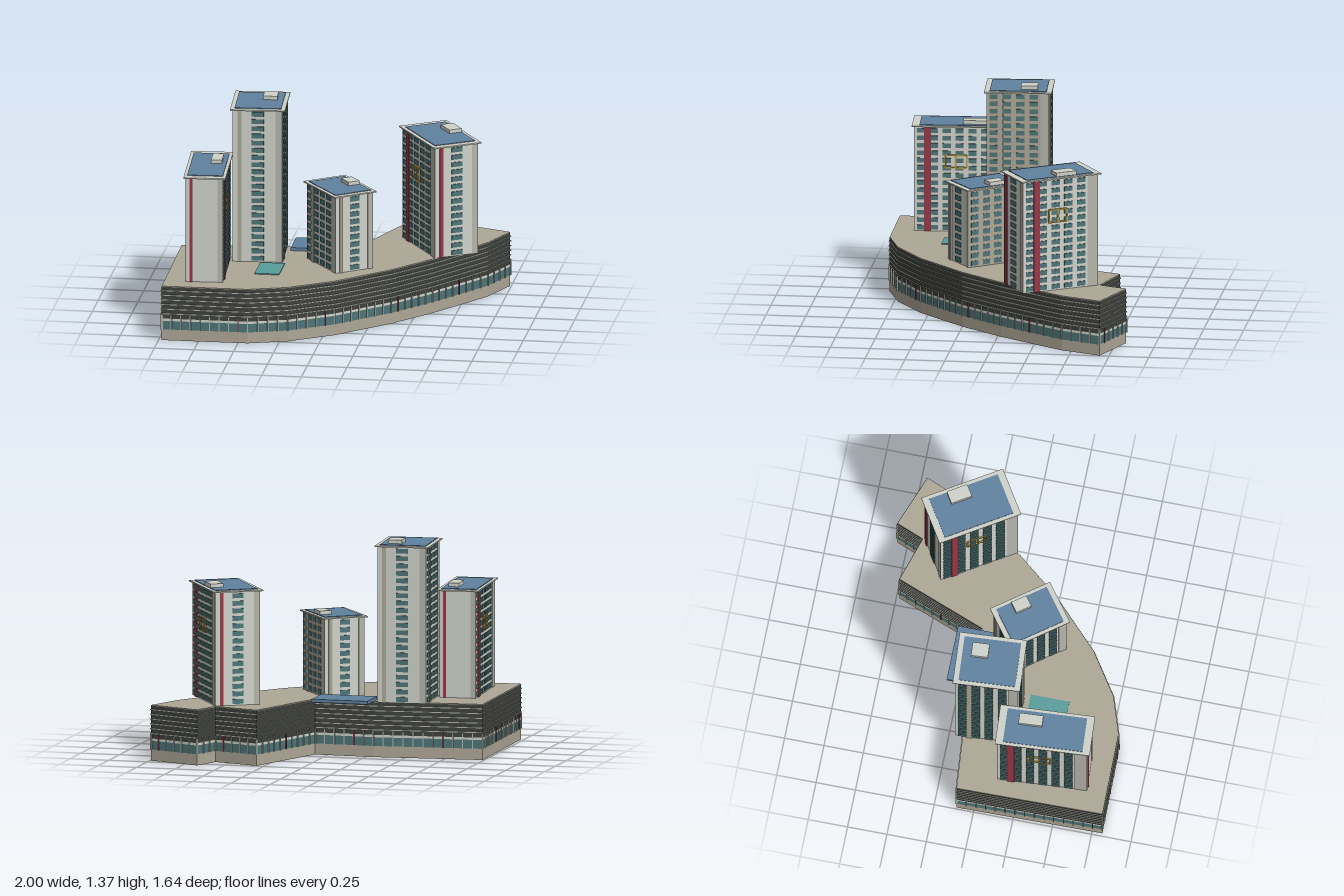
import * as THREE from 'three';
import { mergeGeometries } from 'three/addons/utils/BufferGeometryUtils.js';

const mat = (name, color) => {
  const m = new THREE.MeshStandardMaterial({ color });
  m.name = name;
  return m;
};

// podium outline as x, z pairs
const OUTLINE = [
  [-0.99, -0.11], [-0.3, -0.17], [0.08, -0.16], [0.3, -0.73], [0.59, -0.64], [0.66, -0.815],
  [0.993, -0.69], [0.89, -0.44], [0.81, -0.32], [0.6, -0.02], [0.38, 0.25], [0.07, 0.55],
  [-0.2, 0.73], [-0.44, 0.81], [-0.98, 0.815],
];
const DECK = 0.35;

// x, z, turn, roof width, roof length, top, window columns, roof box offset
const TOWERS = [
  { name: 'frontLeftTower', x: -0.747, z: 0.404, turn: 0.063, w: 0.263, l: 0.595, top: 1.02, cols: 6, box: [0.19, -0.16], accent: 'red', blankEnds: true },
  { name: 'tallTower', x: -0.48, z: 0, turn: 0.065, w: 0.343, l: 0.423, top: 1.33, cols: 4, box: [0.18, -0.16], accent: 'stone' },
  { name: 'lowTower', x: 0.045, z: 0.15, turn: 0.638, w: 0.295, l: 0.413, top: 0.842, cols: 4, box: [0.28, -0.05], accent: 'stone' },
  { name: 'backTower', x: 0.605, z: -0.335, turn: 0.561, w: 0.322, l: 0.544, top: 1.063, cols: 5, box: [0.29, -0.08], accent: 'red' },
];

export function createModel() {
  const M = {
    wall: mat('offWhiteWall', 0xd0d3ca),
    pier: mat('greyPier', 0xb5b5ab),
    stone: mat('beigeStone', 0xaea797),
    dark: mat('darkCladding', 0x3d413d),
    glass: mat('tealGlass', 0x4d7577),
    roof: mat('blueRoof', 0x6082a0),
    pool: mat('poolWater', 0x589e9c),
    red: mat('redStripe', 0x9a3648),
    gold: mat('goldFrame', 0xb8943e),
  };
  const model = new THREE.Group();
  model.name = 'towerComplex';

  const add = (parent, name, geo, material) => {
    const mesh = new THREE.Mesh(geo, material);
    mesh.name = name;
    parent.add(mesh);
    return mesh;
  };
  const boxAt = (w, h, d, x, y, z) => new THREE.BoxGeometry(w, h, d).translate(x, y, z);

  // podium layers
  const podium = new THREE.Group();
  podium.name = 'podium';
  model.add(podium);
  const shape = new THREE.Shape(OUTLINE.map(([x, z]) => new THREE.Vector2(x, -z)));
  const layer = (name, y0, y1, material) => add(podium, name,
    new THREE.ExtrudeGeometry(shape, { depth: y1 - y0, bevelEnabled: false })
      .rotateX(-Math.PI / 2).translate(0, y0, 0), material);
  layer('plinth', 0, 0.07, M.stone);
  layer('shopGlass', 0.07, 0.125, M.glass);
  layer('shopLintel', 0.125, 0.14, M.wall);
  layer('claddingBand', 0.14, 0.345, M.dark);
  layer('deck', 0.345, DECK, M.stone);

  // louvre rings and upright fins along every podium edge
  const rings = [], fins = [], redFins = [];
  let count = 0;
  OUTLINE.forEach(([x0, z0], i) => {
    const [x1, z1] = OUTLINE[(i + 1) % OUTLINE.length];
    const len = Math.hypot(x1 - x0, z1 - z0);
    const angle = -Math.atan2(z1 - z0, x1 - x0);
    for (let k = 0; k < 6; k++) {
      rings.push(new THREE.BoxGeometry(len + 0.005, 0.005, 0.012).rotateY(angle)
        .translate((x0 + x1) / 2, 0.172 + k * 0.03, (z0 + z1) / 2));
    }
    const n = Math.max(1, Math.round(len / 0.062));
    for (let k = 0; k < n; k++) {
      const t = k / n;
      (count++ % 9 === 4 ? redFins : fins).push(new THREE.BoxGeometry(0.006, 0.095, 0.014).rotateY(angle)
        .translate(x0 + (x1 - x0) * t, 0.1175, z0 + (z1 - z0) * t));
    }
  });
  add(podium, 'louvreRings', mergeGeometries(rings), M.pier);
  add(podium, 'shopFins', mergeGeometries(fins), M.pier);
  add(podium, 'redShopFins', mergeGeometries(redFins), M.red);

  // pool and rear canopy
  add(model, 'pool', boxAt(0.155, 0.006, 0.245, -0.37, DECK + 0.003, 0.345), M.pool);
  add(model, 'rearCanopy', boxAt(0.36, 0.02, 0.23, -0.12, DECK + 0.01, -0.195), M.roof);

  // one face of a tower: x runs to the viewer's right, z points outwards
  function buildFace(tower, side, width, rise, spec) {
    const face = new THREE.Group();
    face.name = 'facade';
    const long = side % 2 === 1;
    const plate = (name, w, h, x, y, d, material) =>
      add(face, name, boxAt(w, h, d, x - width / 2, y, d / 2), material);

    if (side === 1 && spec.accent === 'stone') {
      plate('stonePanel', width, rise, width / 2, rise / 2, 0.003, M.stone);
    }
    plate('cornerPier', width * 0.14, rise, width * 0.93, rise / 2, 0.004, M.pier);

    const field = width * 0.86;
    const stripeX = long ? field / spec.cols : width * 0.13;
    plate('accentStripe', width * 0.08, rise, stripeX, rise / 2, 0.008, M[spec.accent]);

    // windows
    const rows = Math.round(rise / 0.047), floor = rise / rows;
    const panes = [];
    for (let r = 0; r < rows; r++) {
      const y = (r + 0.5) * floor;
      if (long) {
        const pitch = field / spec.cols;
        for (let c = 0; c < spec.cols; c++) {
          panes.push(boxAt(pitch * 0.64, floor * 0.6, 0.006, (c + 0.5) * pitch - width / 2, y, 0.003));
        }
      } else if (!spec.blankEnds) {
        panes.push(boxAt(width * 0.25, floor * 0.62, 0.006, 0, y, 0.003));
      }
    }
    if (panes.length) add(face, 'windows', mergeGeometries(panes), M.glass);

    // gold frame around a group of windows
    if (long && spec.accent === 'red') {
      const fw = width * 0.24, fh = 0.08, cx = width * 0.46, cy = rise * 0.67;
      for (const s of [-1, 0, 1]) plate('goldUpright', 0.009, fh, cx + s * fw / 2, cy, 0.009, M.gold);
      for (const s of [-1, 1]) plate('goldRail', fw, 0.009, cx, cy + s * fh / 2, 0.009, M.gold);
    }
    tower.add(face);
    return face;
  }

  for (const spec of TOWERS) {
    const tower = new THREE.Group();
    tower.name = spec.name;
    tower.position.set(spec.x, DECK, spec.z);
    tower.rotation.y = spec.turn;
    model.add(tower);
    const bw = spec.w - 0.035, bl = spec.l - 0.035, rise = spec.top - DECK;
    add(tower, 'towerBody', boxAt(bw, rise, bl, 0, rise / 2, 0), M.wall);

    for (let side = 0; side < 4; side++) {
      const long = side % 2 === 1;
      const face = buildFace(tower, side, long ? bl : bw, rise, spec);
      const a = side * Math.PI / 2, reach = (long ? bw : bl) / 2;
      face.rotation.y = a;
      face.position.set(Math.sin(a) * reach, 0, Math.cos(a) * reach);
    }

    // roof slab, blue surface and plant box
    add(tower, 'roofSlab', boxAt(spec.w, 0.008, spec.l, 0, rise + 0.004, 0), M.wall);
    add(tower, 'roofSurface', boxAt(spec.w * 0.85, 0.004, spec.l * 0.84, 0, rise + 0.01, 0), M.roof);
    add(tower, 'roofBox', boxAt(spec.w * 0.26, 0.03, spec.l * 0.25,
      spec.w * spec.box[0], rise + 0.02, spec.l * spec.box[1]), M.wall);
  }
  return model;
}
